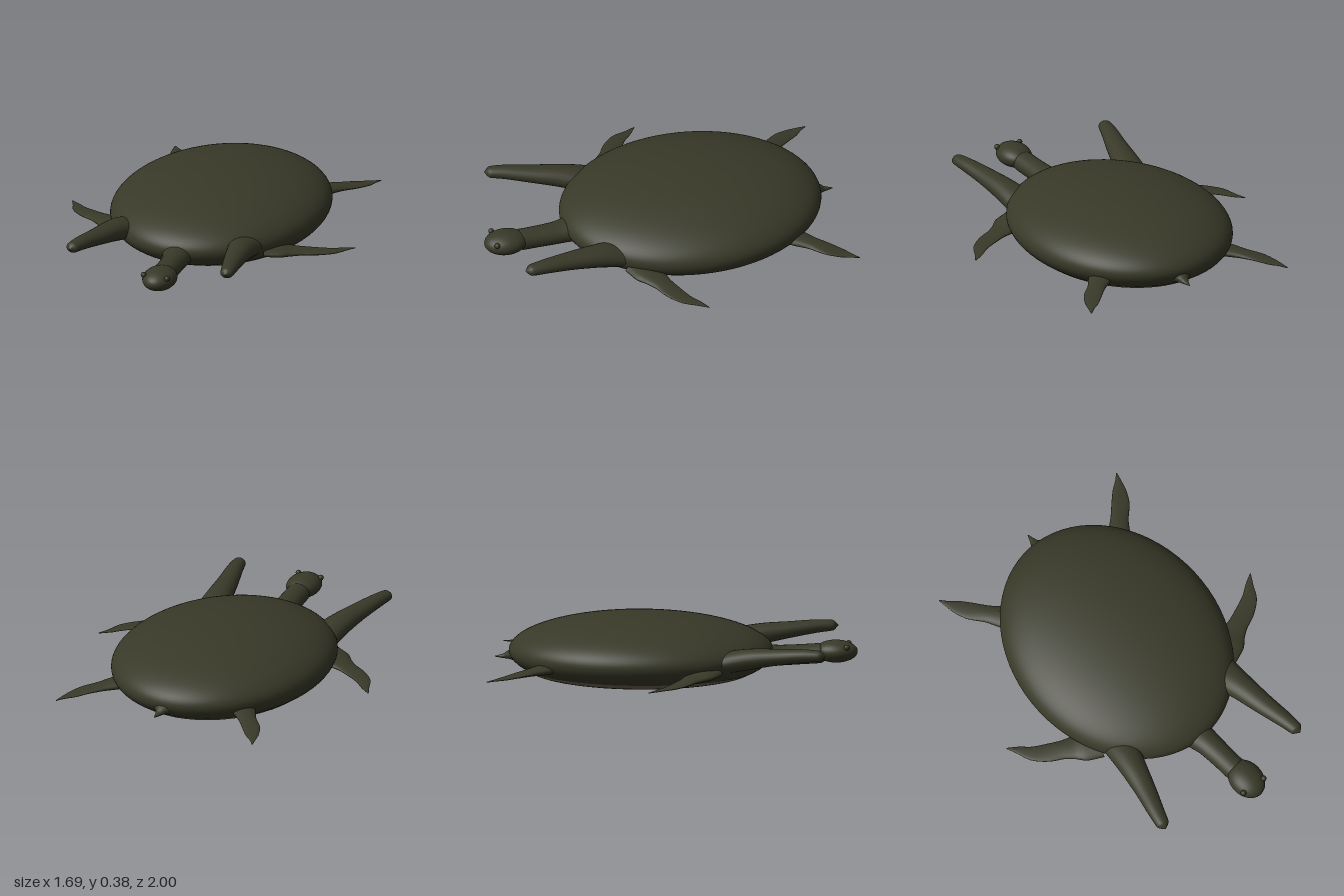
import * as THREE from 'three';

const skin = new THREE.MeshStandardMaterial({ color: 0x383928, side: THREE.DoubleSide });
skin.name = 'olive skin';
const bellyMat = new THREE.MeshStandardMaterial({ color: 0x6c604f, side: THREE.DoubleSide });
bellyMat.name = 'brown belly';

function add(group, name, geometry, material = skin) {
  const mesh = new THREE.Mesh(geometry, material);
  mesh.name = name;
  group.add(mesh);
  return mesh;
}

// Smooth body lofted through stations [x, y, z, half width, half height].
// Width is measured level and square to the path.
function loft(stations, mirror = 1, rings = 40, sides = 24) {
  const path = new THREE.CatmullRomCurve3(stations.map(s => new THREE.Vector3(s[0] * mirror, s[1], s[2])));
  const size = new THREE.CatmullRomCurve3(stations.map(s => new THREE.Vector3(s[3], s[4], 0)));
  const pos = [], idx = [];
  for (let i = 0; i <= rings; i++) {
    const t = i / rings;
    const c = path.getPoint(t), d = path.getTangent(t), s = size.getPoint(t);
    const side = new THREE.Vector3(d.z, 0, -d.x).normalize();
    const up = new THREE.Vector3().crossVectors(d, side);
    for (let j = 0; j < sides; j++) {
      const a = j / sides * Math.PI * 2;
      const p = c.clone()
        .addScaledVector(side, Math.cos(a) * Math.max(s.x, 0.001))
        .addScaledVector(up, Math.sin(a) * Math.max(s.y, 0.001));
      pos.push(p.x, p.y, p.z);
      if (i < rings) {
        const k = i * sides, n = (j + 1) % sides;
        idx.push(k + j, k + n, k + sides + j, k + n, k + sides + n, k + sides + j);
      }
    }
  }
  const g = new THREE.BufferGeometry();
  g.setAttribute('position', new THREE.Float32BufferAttribute(pos, 3));
  g.setIndex(idx);
  g.computeVertexNormals();
  return g;
}

// Oval dish or dome turned from an elliptical arc
function ovalLathe(r, cy, ry, from, to, stretch, z) {
  const pts = [];
  for (let i = 0; i <= 32; i++) {
    const a = from + (to - from) * i / 32;
    pts.push(new THREE.Vector2(Math.max(0, r * Math.cos(a)), cy + ry * Math.sin(a)));
  }
  const g = new THREE.LatheGeometry(pts, 72);
  g.scale(1, 1, stretch);
  g.translate(0, 0, z);
  return g;
}

export function createModel() {
  const model = new THREE.Group();
  model.name = 'turtle';

  // Shell and paler underside
  add(model, 'shell', ovalLathe(0.59, 0.175, 0.205, -0.53, Math.PI / 2, 1.24, -0.19));
  add(model, 'belly', ovalLathe(0.508, 0.078, 0.078, -Math.PI / 2, 0, 1.24, -0.195), bellyMat);

  // Neck, bent slightly to one side
  add(model, 'neck', loft([
    [0.02, 0.15, 0.4, 0.13, 0.085], [0.03, 0.15, 0.5, 0.088, 0.062],
    [0.045, 0.15, 0.58, 0.073, 0.056], [0.06, 0.155, 0.7, 0.067, 0.055],
    [0.07, 0.16, 0.79, 0.066, 0.055], [0.075, 0.165, 0.83, 0.04, 0.03],
  ]));

  // Head and eyes
  const head = new THREE.Group();
  head.name = 'head';
  head.position.set(0.082, 0.17, 0.88);
  model.add(head);
  add(head, 'skull', new THREE.SphereGeometry(1, 40, 28)).scale.set(0.093, 0.062, 0.12);
  for (const s of [-1, 1]) {
    add(head, s > 0 ? 'leftEye' : 'rightEye', new THREE.SphereGeometry(0.016, 16, 12))
      .position.set(s * 0.07, 0.033, 0.065);
  }

  // Paired limbs
  for (const s of [-1, 1]) {
    const side = s > 0 ? 'left' : 'right';
    add(model, side + 'FrontArm', loft([
      [0.34, 0.165, 0.25, 0.105, 0.055], [0.362, 0.19, 0.36, 0.088, 0.06],
      [0.382, 0.208, 0.46, 0.074, 0.056], [0.41, 0.225, 0.6, 0.06, 0.045],
      [0.445, 0.24, 0.75, 0.046, 0.036], [0.462, 0.243, 0.835, 0.036, 0.029],
      [0.466, 0.244, 0.865, 0.001, 0.001],
    ], s));
    add(model, side + 'SideFin', loft([
      [0.42, 0.135, 0.2, 0.1, 0.03], [0.5, 0.128, 0.17, 0.092, 0.027],
      [0.55, 0.122, 0.145, 0.07, 0.021], [0.61, 0.118, 0.115, 0.055, 0.016],
      [0.68, 0.113, 0.08, 0.053, 0.011], [0.75, 0.107, 0.03, 0.042, 0.007],
      [0.8, 0.1, -0.035, 0.022, 0.004], [0.845, 0.096, -0.085, 0.003, 0.002],
    ], s));
    add(model, side + 'BackFin', loft([
      [0.34, 0.138, -0.63, 0.08, 0.03], [0.41, 0.132, -0.71, 0.062, 0.026],
      [0.46, 0.127, -0.77, 0.05, 0.019], [0.52, 0.12, -0.84, 0.05, 0.011],
      [0.565, 0.11, -0.91, 0.037, 0.006], [0.595, 0.105, -0.96, 0.016, 0.004],
      [0.615, 0.1, -1.0, 0.003, 0.002],
    ], s));
  }

  // Short pointed tail
  add(model, 'tail', loft([
    [0, 0.15, -0.87, 0.1, 0.05], [0, 0.14, -0.92, 0.038, 0.025],
    [0, 0.133, -0.95, 0.019, 0.013], [0, 0.13, -1.0, 0.002, 0.002],
  ]));

  return model;
}
